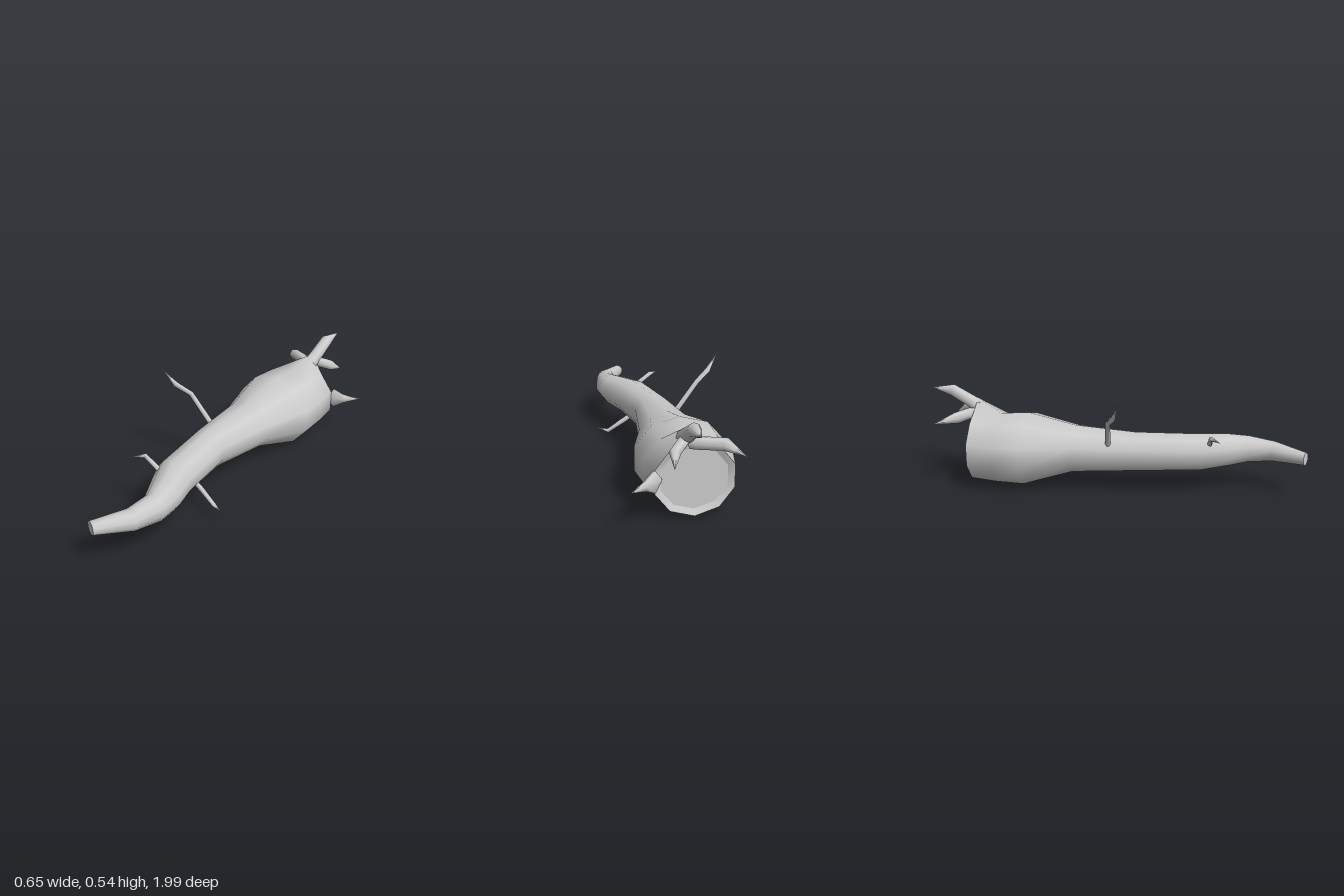
import * as THREE from 'three';

const material = new THREE.MeshStandardMaterial({ color: 0xcccccc, side: THREE.DoubleSide });

// Skin a list of rings (arrays of Vector3, equal length) with smooth normals
function loft(name, rings) {
  const n = rings[0].length, index = [];
  for (let i = 0; i < rings.length - 1; i++) {
    for (let j = 0; j < n; j++) {
      const a = i * n + j, b = i * n + (j + 1) % n;
      index.push(a, b, a + n, b, b + n, a + n);
    }
  }
  const geometry = new THREE.BufferGeometry().setFromPoints(rings.flat());
  geometry.setIndex(index);
  geometry.computeVertexNormals();
  const mesh = new THREE.Mesh(geometry, material);
  mesh.name = name;
  return mesh;
}

// Flat lid over one ring
function lid(name, ring) {
  const centre = ring.reduce((s, p) => s.add(p), new THREE.Vector3()).divideScalar(ring.length);
  return loft(name, [ring, ring.map(() => centre.clone())]);
}

// Decagonal body ring: centre, half width, half height, yaw
function bodyRing([x, y, z, rx, ry, yaw]) {
  return Array.from({ length: 10 }, (_, j) => {
    const a = Math.PI / 2 + j * Math.PI / 5;
    const u = Math.cos(a) * rx / 0.951;
    return new THREE.Vector3(x + u * Math.cos(yaw), y + Math.sin(a) * ry, z - u * Math.sin(yaw));
  });
}

// Tapering limb: each point is [x, y, z, horizontal radius, vertical radius]
function limb(name, points, sides = 6) {
  const at = points.map(p => new THREE.Vector3(p[0], p[1], p[2]));
  const up = new THREE.Vector3(0, 1, 0);
  const rings = points.map((p, i) => {
    const dir = at[Math.min(i + 1, at.length - 1)].clone().sub(at[Math.max(i - 1, 0)]).normalize();
    const side = new THREE.Vector3().crossVectors(dir, up).normalize();
    const lift = new THREE.Vector3().crossVectors(side, dir);
    return Array.from({ length: sides }, (_, j) => {
      const a = j * 2 * Math.PI / sides;
      return at[i].clone()
        .addScaledVector(side, Math.cos(a) * p[3])
        .addScaledVector(lift, Math.sin(a) * (p[4] ?? p[3]));
    });
  });
  return loft(name, rings);
}

export function createModel() {
  const model = new THREE.Group();

  // Thick root, from the crown to the bent tip
  const rings = [
    [0.01, 0.19, -0.74, 0.185, 0.18, 0],
    [0.005, 0.19, -0.6, 0.212, 0.185, 0],
    [0.01, 0.193, -0.45, 0.22, 0.193, 0],
    [0.012, 0.205, -0.2, 0.142, 0.125, 0],
    [0.012, 0.205, 0.12, 0.098, 0.105, 0],
    [0.07, 0.205, 0.45, 0.098, 0.097, 0.15],
    [0.135, 0.205, 0.59, 0.082, 0.086, 0.25],
    [0.167, 0.205, 0.69, 0.063, 0.072, 0.08],
    [0.15, 0.205, 0.825, 0.052, 0.054, -0.28],
    [0.055, 0.203, 0.983, 0.032, 0.034, -0.38],
  ].map(bodyRing);
  rings[0][0].set(0.055, 0.44, -0.74); // crown edge drawn up to the top leaf
  model.add(loft('rootBody', rings));
  model.add(lid('rootTipCap', rings[rings.length - 1]));

  // Crown: sloping rim around a shallow flat face
  const crownOuter = bodyRing([0.01, 0.19, -0.74, 0.185, 0.18, 0]);
  crownOuter[0].copy(rings[0][0]);
  const crownInner = bodyRing([0.01, 0.19, -0.725, 0.155, 0.15, 0]);
  model.add(loft('crownRim', [crownInner, crownOuter]));
  model.add(lid('crownFace', crownInner));

  // Leaf stubs
  const leaves = new THREE.Group();
  leaves.name = 'leaves';
  leaves.add(
    limb('topLeaf', [[0.055, 0.385, -0.72, 0.04], [0.055, 0.42, -0.78, 0.035],
      [0.055, 0.475, -0.88, 0.033], [0.055, 0.485, -1, 0]], 8),
    limb('rightLeaf', [[0.04, 0.365, -0.745, 0.025], [0, 0.37, -0.765, 0.03],
      [-0.11, 0.37, -0.805, 0.03], [-0.175, 0.345, -0.915, 0]]),
    limb('innerLeaf', [[0.05, 0.4, -0.745, 0.028], [0.125, 0.36, -0.83, 0.028],
      [0.145, 0.315, -0.91, 0]]),
    limb('leftLeaf', [[0.165, 0.2, -0.74, 0.005, 0.01], [0.2, 0.203, -0.76, 0.018, 0.06],
      [0.25, 0.2, -0.795, 0.015, 0.024], [0.322, 0.2, -0.85, 0]]),
  );
  model.add(leaves);

  // Thin side rootlets
  const rootlets = new THREE.Group();
  rootlets.name = 'rootlets';
  rootlets.add(
    limb('longRootlet', [[-0.06, 0.235, -0.015, 0.014], [-0.085, 0.268, -0.01, 0.014],
      [-0.195, 0.405, 0.01, 0.013], [-0.265, 0.453, 0.05, 0.014], [-0.325, 0.535, 0.085, 0]]),
    limb('upperRootlet', [[0.04, 0.25, 0.49, 0.013], [0.015, 0.267, 0.5, 0.013],
      [-0.055, 0.315, 0.51, 0.012], [-0.105, 0.31, 0.56, 0]]),
    limb('lowerRootlet', [[0.09, 0.14, 0.325, 0.014], [0.14, 0.108, 0.325, 0.014],
      [0.225, 0.053, 0.33, 0.012], [0.29, 0.065, 0.362, 0]]),
  );
  model.add(rootlets);

  return model;
}
